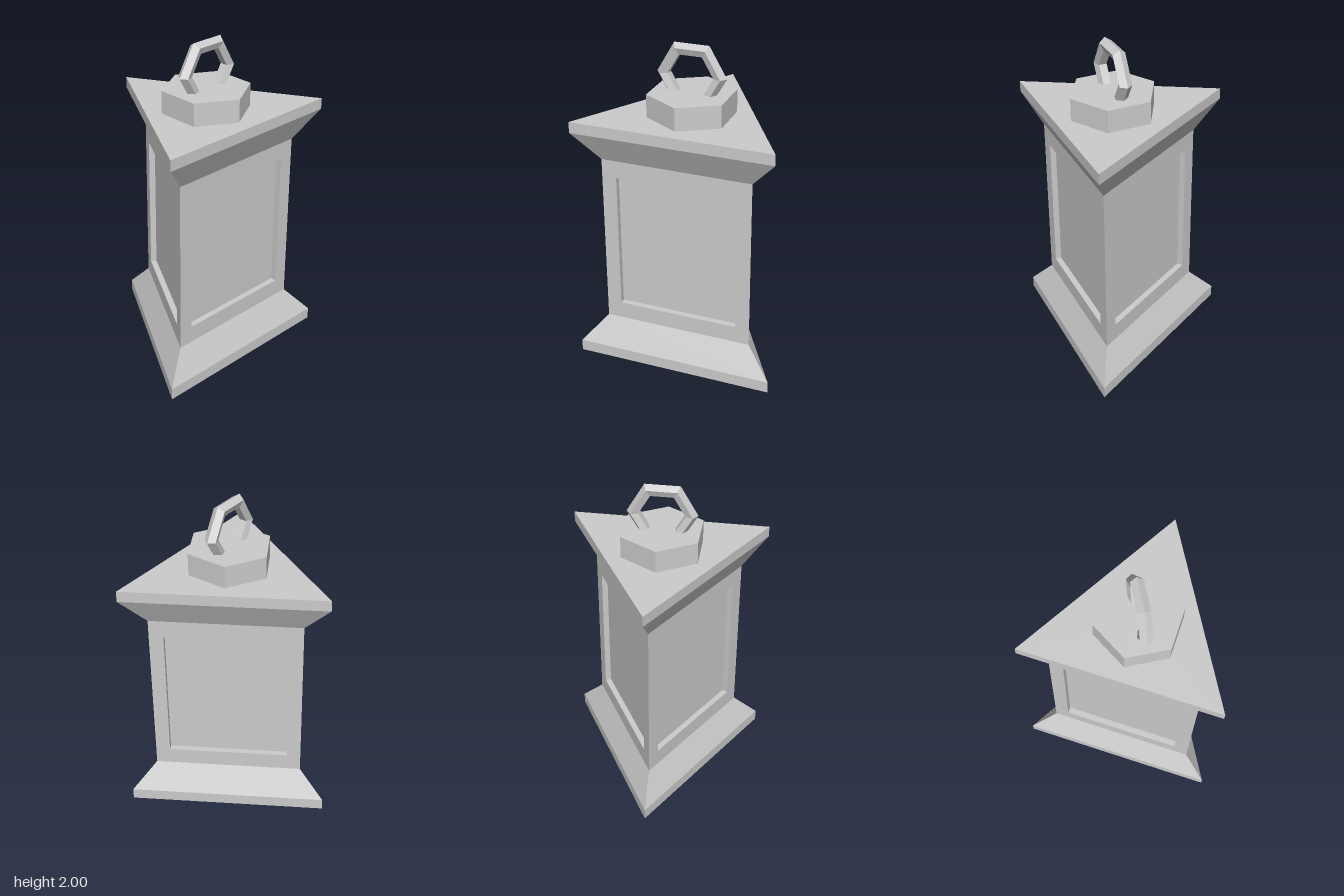
import * as THREE from 'three';

const AXIS_Z = 0.178;      // the triangular plan is offset so its bounds are centred
const R_WIDE = 0.712;      // corner radius of plinth and cornice
const R_BODY = 0.535;      // corner radius of the shaft
const Y = { rim: 0.072, bodyLow: 0.249, bodyHigh: 1.327, cornice: 1.504, top: 1.572, cap: 1.712 };

const material = new THREE.MeshStandardMaterial({ color: 0xcccccc, flatShading: true });

function part(name, geometry) {
  const mesh = new THREE.Mesh(geometry, material);
  mesh.name = name;
  return mesh;
}

// Three-sided solid of revolution with one corner pointing to the back
function triangular(profile) {
  const points = profile.map(([r, y]) => new THREE.Vector2(r, y));
  return new THREE.LatheGeometry(points, 3, Math.PI);
}

// Wall with a sunken panel: nested rectangles joined ring by ring
function recessedWall(halfW, halfH, panelW, panelH, depth) {
  const rings = [[halfW, halfH, 0], [panelW, panelH, 0], [panelW, panelH, -depth]];
  const corners = [[-1, -1], [1, -1], [1, 1], [-1, 1]];
  const positions = [];
  const index = [];
  for (const [w, h, z] of rings) {
    for (const [sx, sy] of corners) positions.push(sx * w, sy * h, z);
  }
  for (let ring = 0; ring < rings.length - 1; ring++) {
    for (let i = 0; i < 4; i++) {
      const a = ring * 4 + i;
      const b = ring * 4 + (i + 1) % 4;
      index.push(a, b, b + 4, a, b + 4, a + 4);
    }
  }
  index.push(8, 9, 10, 8, 10, 11); // panel floor
  const indexed = new THREE.BufferGeometry();
  indexed.setAttribute('position', new THREE.Float32BufferAttribute(positions, 3));
  indexed.setIndex(index);
  const geometry = indexed.toNonIndexed();
  geometry.computeVertexNormals();
  return geometry;
}

export function createModel() {
  const model = new THREE.Group();
  model.name = 'triangularPedestal';
  const column = new THREE.Group();
  column.name = 'column';
  column.position.z = AXIS_Z;
  model.add(column);

  // Flared plinth and cornice
  column.add(part('plinth', triangular([[0, 0], [R_WIDE, 0], [R_WIDE, Y.rim], [R_BODY, Y.bodyLow]])));
  column.add(part('cornice', triangular([[R_BODY, Y.bodyHigh], [R_WIDE, Y.cornice], [R_WIDE, Y.top], [0, Y.top]])));

  // Three identical walls with sunken panels
  const halfW = R_BODY * Math.sin(Math.PI / 3);
  const halfH = (Y.bodyHigh - Y.bodyLow) / 2;
  const wall = recessedWall(halfW, halfH, 0.374, 0.432, 0.037);
  wall.translate(0, (Y.bodyHigh + Y.bodyLow) / 2, R_BODY / 2);
  ['frontWall', 'leftWall', 'rightWall'].forEach((name, i) => {
    const mesh = part(name, wall);
    mesh.rotation.y = i * Math.PI * 2 / 3;
    column.add(mesh);
  });

  // Hexagonal cap
  const cap = part('cap', new THREE.CylinderGeometry(0.265, 0.265, Y.cap - Y.top, 6));
  cap.position.y = (Y.cap + Y.top) / 2;
  column.add(cap);

  // Six-sided ring with a five-sided section, half sunk into the cap
  const ring = part('ring', new THREE.TorusGeometry(0.172, 0.041, 5, 6));
  ring.position.y = 1.8155;
  column.add(ring);

  return model;
}
